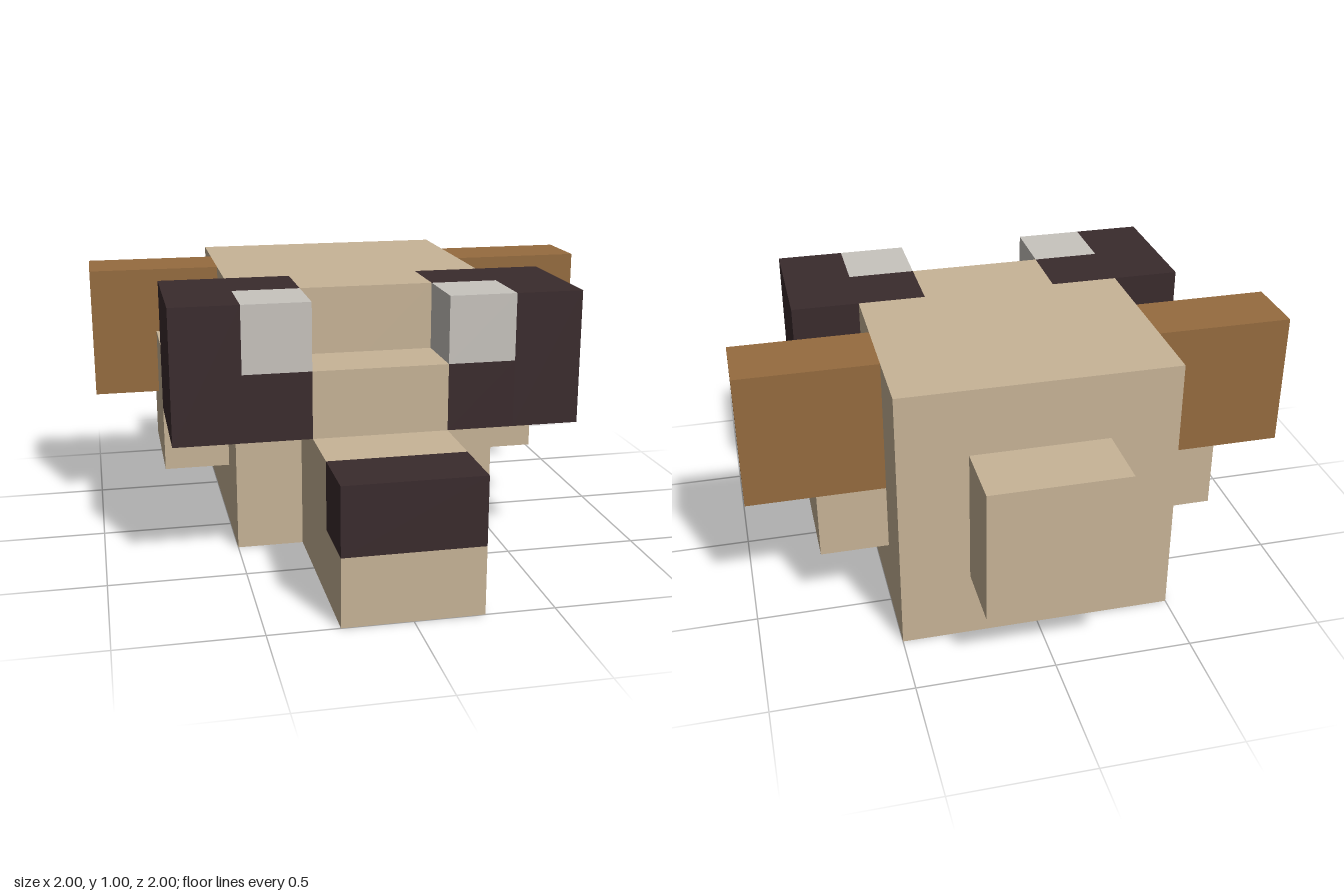
import * as THREE from 'three';

const paint = (name, color) => {
  const m = new THREE.MeshStandardMaterial({ color });
  m.name = name;
  return m;
};

export function createModel() {
  const tan = paint('tan', 0xc8b497);
  const dark = paint('darkBrown', 0x3a2b2d);
  const brown = paint('earBrown', 0x966c3f);
  const grey = paint('lightGrey', 0xc8c4be);
  const model = new THREE.Group();
  model.name = 'blockHead';

  // Box given by its extents along x, y and z
  const block = (parent, name, material, [x0, x1], [y0, y1], [z0, z1]) => {
    const mesh = new THREE.Mesh(new THREE.BoxGeometry(x1 - x0, y1 - y0, z1 - z0), material);
    mesh.position.set((x0 + x1) / 2, (y0 + y1) / 2, (z0 + z1) / 2);
    mesh.name = name;
    parent.add(mesh);
  };

  // Head
  block(model, 'skull', tan, [-0.5, 0.5], [0, 1], [-0.75, 0]);
  block(model, 'jaw', tan, [-0.5, 0.5], [0, 0.5], [0, 0.25]);
  block(model, 'forehead', tan, [-0.25, 0.25], [0.5, 1], [0, 0.25]);
  block(model, 'bridge', tan, [-0.25, 0.25], [0.5, 0.75], [0.25, 0.5]);
  block(model, 'backBlock', tan, [-0.25, 0.25], [0.25, 0.75], [-1, -0.75]);

  // Snout with the nose at its upper tip
  block(model, 'snout', tan, [-0.25, 0.25], [0, 0.5], [0.25, 0.75]);
  block(model, 'snoutTip', tan, [-0.25, 0.25], [0, 0.25], [0.75, 1]);
  block(model, 'nose', dark, [-0.25, 0.25], [0.25, 0.5], [0.75, 1]);

  // Eyes, cheeks and ears, mirrored
  for (const [side, s] of [['left', 1], ['right', -1]]) {
    const span = (a, b) => (s > 0 ? [a, b] : [-b, -a]);

    const eye = new THREE.Group();
    eye.name = side + 'Eye';
    block(eye, 'eyeOuter', dark, span(0.5, 0.75), [0.5, 1], [0, 0.5]);
    block(eye, 'eyeRear', dark, span(0.25, 0.5), [0.5, 1], [0, 0.25]);
    block(eye, 'eyeLower', dark, span(0.25, 0.5), [0.5, 0.75], [0.25, 0.5]);
    block(eye, 'eyeLight', grey, span(0.25, 0.5), [0.75, 1], [0.25, 0.5]);

    const cheek = new THREE.Group();
    cheek.name = side + 'Cheek';
    block(cheek, 'cheekLower', tan, span(0.5, 0.75), [0.25, 0.5], [-0.5, 0]);
    block(cheek, 'cheekUpper', tan, span(0.5, 0.75), [0.5, 0.75], [-0.25, 0]);

    model.add(eye, cheek);
    block(model, side + 'Ear', brown, span(0.5, 1), [0.5, 1], [-0.5, -0.25]);
  }
  return model;
}
